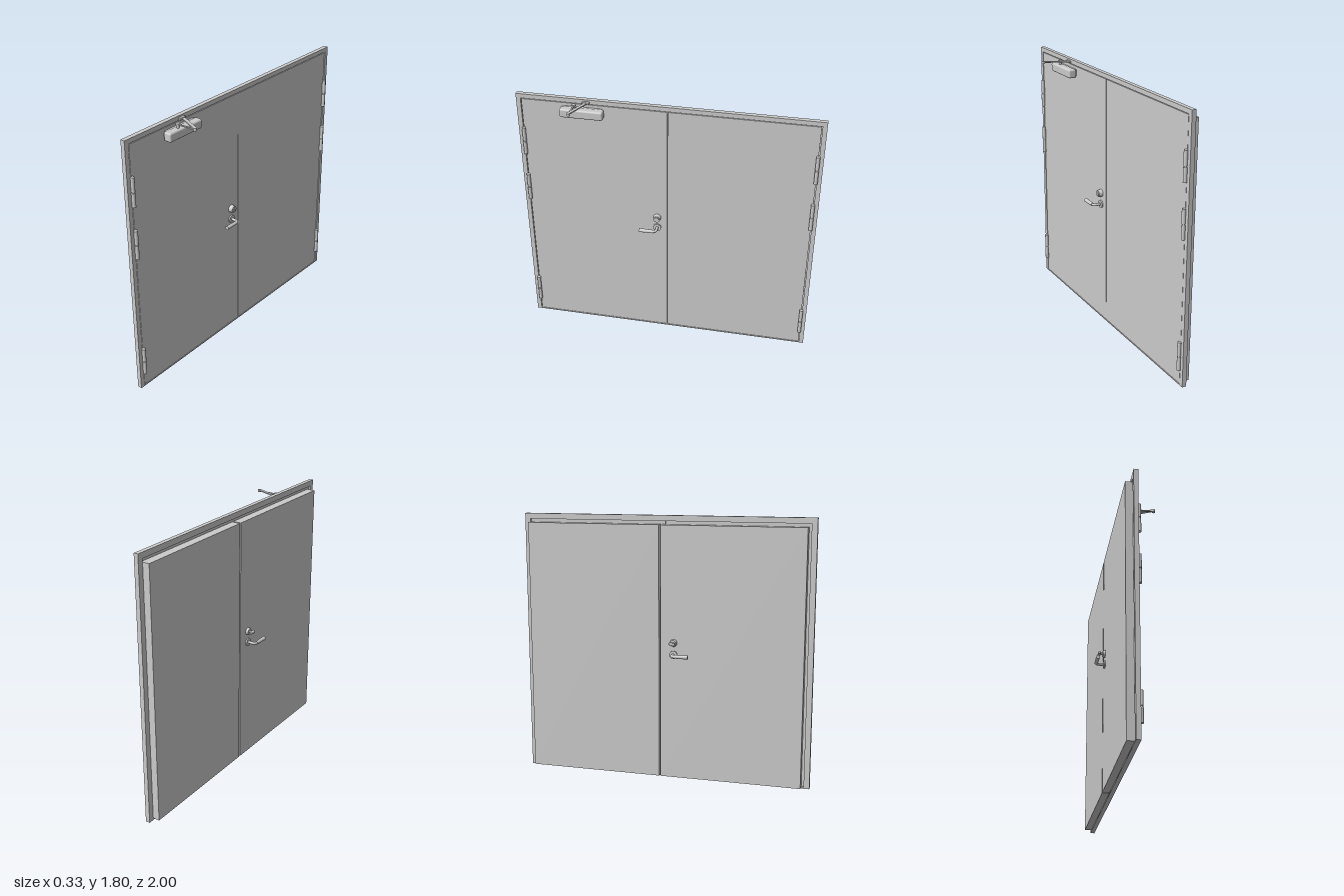
import * as THREE from 'three';
import { RoundedBoxGeometry } from 'three/addons/geometries/RoundedBoxGeometry.js';

const grey = new THREE.MeshStandardMaterial({ color: 0xcccccc });

function add(parent, name, geometry, x = 0, y = 0, z = 0) {
  const m = new THREE.Mesh(geometry, grey);
  m.name = name;
  m.position.set(x, y, z);
  parent.add(m);
  return m;
}

// box given by its limits on each axis
function block(parent, name, [x0, x1], [y0, y1], [z0, z1]) {
  return add(parent, name, new THREE.BoxGeometry(x1 - x0, y1 - y0, z1 - z0),
    (x0 + x1) / 2, (y0 + y1) / 2, (z0 + z1) / 2);
}

// disc or rod along x
function rodX(parent, name, r0, r1, x0, x1, y, z) {
  const g = new THREE.CylinderGeometry(r1, r0, x1 - x0, 28).rotateZ(-Math.PI / 2);
  return add(parent, name, g, (x0 + x1) / 2, y, z);
}

// flat bar between two points
function bar(parent, name, a, b, width, height) {
  const m = add(parent, name, new THREE.BoxGeometry(width, height, a.distanceTo(b)));
  m.position.copy(a).lerp(b, 0.5);
  m.lookAt(b);
  return m;
}

// three-sided frame standing on the ground, extruded along x
function frameRing(parent, name, x0, x1, outer, top, inner, innerTop) {
  const s = new THREE.Shape([
    [-outer, 0], [-inner, 0], [-inner, innerTop], [inner, innerTop],
    [inner, 0], [outer, 0], [outer, top], [-outer, top],
  ].map(([a, b]) => new THREE.Vector2(a, b)));
  const g = new THREE.ExtrudeGeometry(s, { depth: x1 - x0, bevelEnabled: false });
  g.rotateY(Math.PI / 2);
  return add(parent, name, g, x0, 0, 0);
}

export function createModel() {
  const root = new THREE.Group();
  root.name = 'doubleDoor';

  // frame with a stop behind the leaf edges, and a low sill
  const frame = new THREE.Group();
  frame.name = 'frame';
  root.add(frame);
  frameRing(frame, 'frameFace', -0.036, -0.02, 1, 1.8, 0.97, 1.77);
  frameRing(frame, 'frameStop', -0.05, -0.036, 1, 1.8, 0.962, 1.762);
  block(frame, 'sill', [-0.05, -0.02], [0, 0.008], [-0.97, 0.97]);

  // leaves: thin front lip on a thicker body
  const leaves = [
    { name: 'activeLeaf', lip: [0.002, 0.965], body: [-0.02, 0.945] },
    { name: 'passiveLeaf', lip: [-0.965, -0.002], body: [-0.96, -0.032] },
  ];
  for (const l of leaves) {
    const leaf = new THREE.Group();
    leaf.name = l.name;
    root.add(leaf);
    block(leaf, 'leafLip', [-0.036, -0.022], [0.01, 1.765], l.lip);
    block(leaf, 'leafBody', [-0.095, -0.036], [0.012, 1.74], l.body);
  }

  // hinges: two knuckles each, with a slim pin between
  for (const z of [0.964, -0.964]) {
    for (const y of [0.21, 1.1, 1.46]) {
      const hinge = new THREE.Group();
      hinge.name = 'hinge';
      hinge.position.set(-0.012, y, z);
      root.add(hinge);
      for (const s of [-1, 1]) {
        add(hinge, 'knuckle', new THREE.CylinderGeometry(0.0125, 0.0125, 0.095, 20), 0, s * 0.0515, 0);
      }
      add(hinge, 'hingePin', new THREE.CylinderGeometry(0.008, 0.008, 0.02, 16));
    }
  }

  // lever handles on both faces
  const hz = 0.07, hy = 0.875;
  for (const side of [1, -1]) {
    const handle = new THREE.Group();
    handle.name = side > 0 ? 'frontHandle' : 'backHandle';
    root.add(handle);
    const face = side > 0 ? -0.022 : -0.095;
    const tip = side > 0 ? 0.039 : -0.157;
    const ends = [face, face + side * 0.01].sort((a, b) => a - b);
    rodX(handle, 'rose', 0.027, 0.027, ends[0], ends[1], hy, hz);
    const v = (x, z) => new THREE.Vector3(x, hy, z);
    const path = new THREE.CurvePath();
    const neck = v(tip - side * 0.025, hz), bend = v(tip, hz + 0.025);
    path.add(new THREE.LineCurve3(v(face, hz), neck));
    path.add(new THREE.QuadraticBezierCurve3(neck, v(tip, hz), bend));
    path.add(new THREE.LineCurve3(bend, v(tip, 0.12)));
    add(handle, 'leverNeck', new THREE.TubeGeometry(path, 40, 0.0095, 14, false));
    const grip = new THREE.CylinderGeometry(0.0135, 0.0115, 0.1, 24).rotateX(Math.PI / 2);
    add(handle, 'leverGrip', grip, tip, hy, 0.135);
  }

  // lock: keyed cylinder in front, thumb turn behind
  const lock = new THREE.Group();
  lock.name = 'lock';
  root.add(lock);
  const ly = 0.955;
  rodX(lock, 'lockCollar', 0.027, 0.023, -0.022, 0.006, ly, hz);
  rodX(lock, 'lockCore', 0.016, 0.016, 0.006, 0.011, ly, hz);
  block(lock, 'keySlot', [0.011, 0.0125], [ly - 0.009, ly + 0.009], [hz - 0.002, hz + 0.002]);
  rodX(lock, 'turnCollar', 0.021, 0.026, -0.112, -0.095, ly, hz);
  rodX(lock, 'turnStem', 0.008, 0.008, -0.13, -0.112, ly, hz);
  add(lock, 'thumbTurn', new RoundedBoxGeometry(0.018, 0.018, 0.044, 3, 0.006), -0.134, ly, hz);

  // door closer: rounded housing with a folded arm above
  const closer = new THREE.Group();
  closer.name = 'closer';
  root.add(closer);
  block(closer, 'closerPlate', [-0.022, -0.01], [1.7, 1.745], [0.43, 0.675]);
  add(closer, 'closerBody', new RoundedBoxGeometry(0.056, 0.06, 0.285, 4, 0.012), 0.016, 1.72, 0.5525);
  add(closer, 'closerSpindle', new THREE.CylinderGeometry(0.009, 0.009, 0.035, 20), 0.018, 1.762, 0.6);
  add(closer, 'spindleCap', new THREE.CylinderGeometry(0.014, 0.014, 0.012, 20), 0.018, 1.775, 0.6);
  const elbow = new THREE.Vector3(0.152, 1.777, 0.597);
  bar(closer, 'mainArm', new THREE.Vector3(0.018, 1.772, 0.6), elbow, 0.01, 0.007);
  bar(closer, 'foreArm', new THREE.Vector3(0, 1.782, 0.53), elbow.clone().setY(1.784), 0.02, 0.008);
  add(closer, 'elbowPivot', new THREE.CylinderGeometry(0.011, 0.011, 0.018, 20), elbow.x, 1.779, elbow.z);
  add(closer, 'armShoe', new RoundedBoxGeometry(0.02, 0.016, 0.05, 2, 0.004), -0.011, 1.782, 0.53);

  return root;
}
